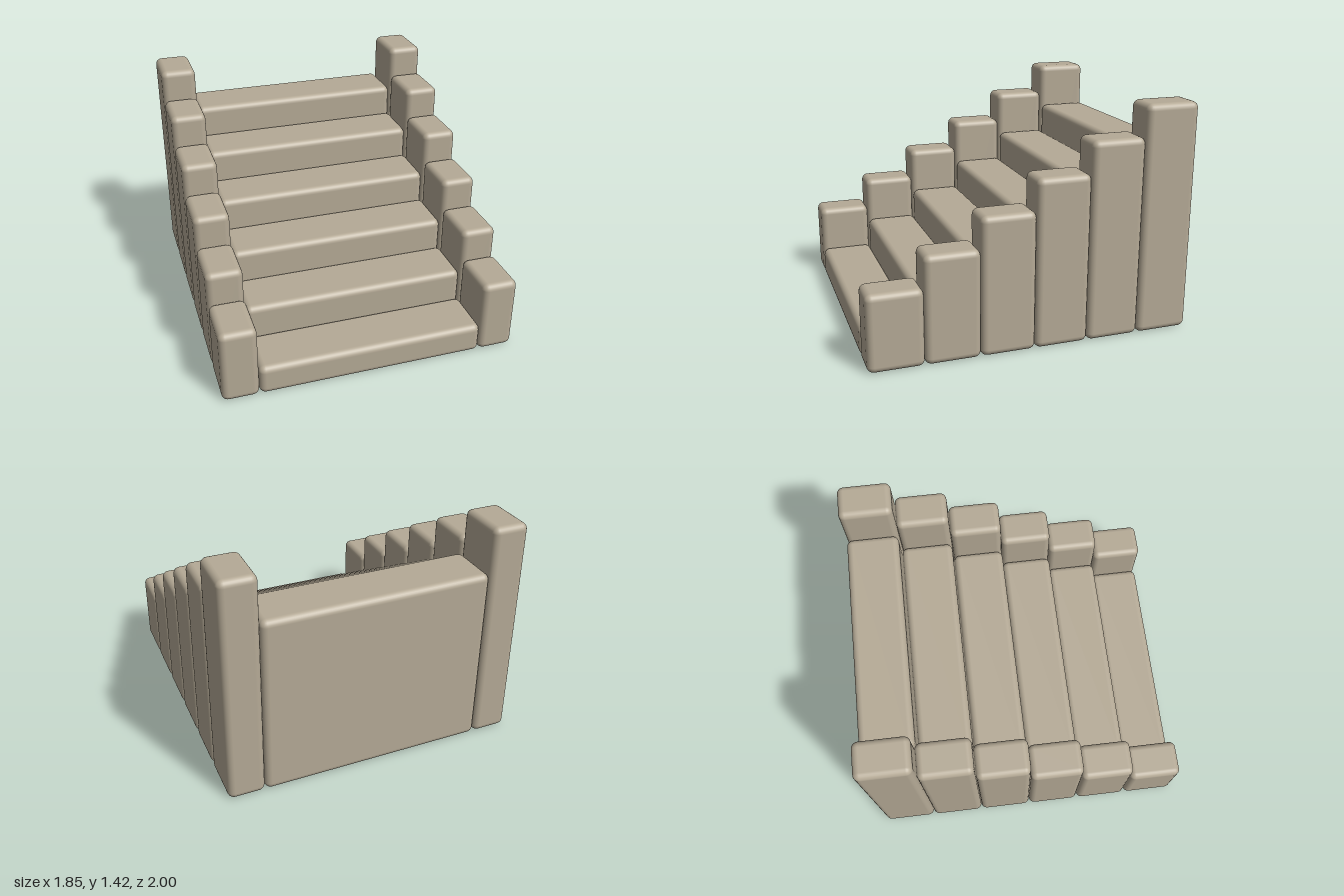
import * as THREE from 'three';
import { RoundedBoxGeometry } from 'three/addons/geometries/RoundedBoxGeometry.js';

export function createModel() {
  const group = new THREE.Group();
  group.name = 'staircase';
  const stone = new THREE.MeshStandardMaterial({ color: 0xb5aa96 });
  stone.name = 'stone';

  const count = 6, depth = 2 / count, rise = 0.1895;
  const halfStep = 0.7, postWidth = 0.225, postExtra = 0.283, bevel = 0.04;

  // Rounded block standing on the ground
  function block(name, width, height, x, z) {
    const mesh = new THREE.Mesh(new RoundedBoxGeometry(width, height, depth, 3, bevel), stone);
    mesh.name = name;
    mesh.position.set(x, height / 2, z);
    group.add(mesh);
  }

  // Each row: a full-height step block between two taller side posts
  for (let i = 0; i < count; i++) {
    const z = 1 - depth * (i + 0.5);
    const height = rise * (i + 1);
    block(`step${i + 1}`, halfStep * 2, height, 0, z);
    for (const side of [1, -1]) {
      block(`${side > 0 ? 'left' : 'right'}Post${i + 1}`, postWidth, height + postExtra,
        side * (halfStep + postWidth / 2), z);
    }
  }
  return group;
}
